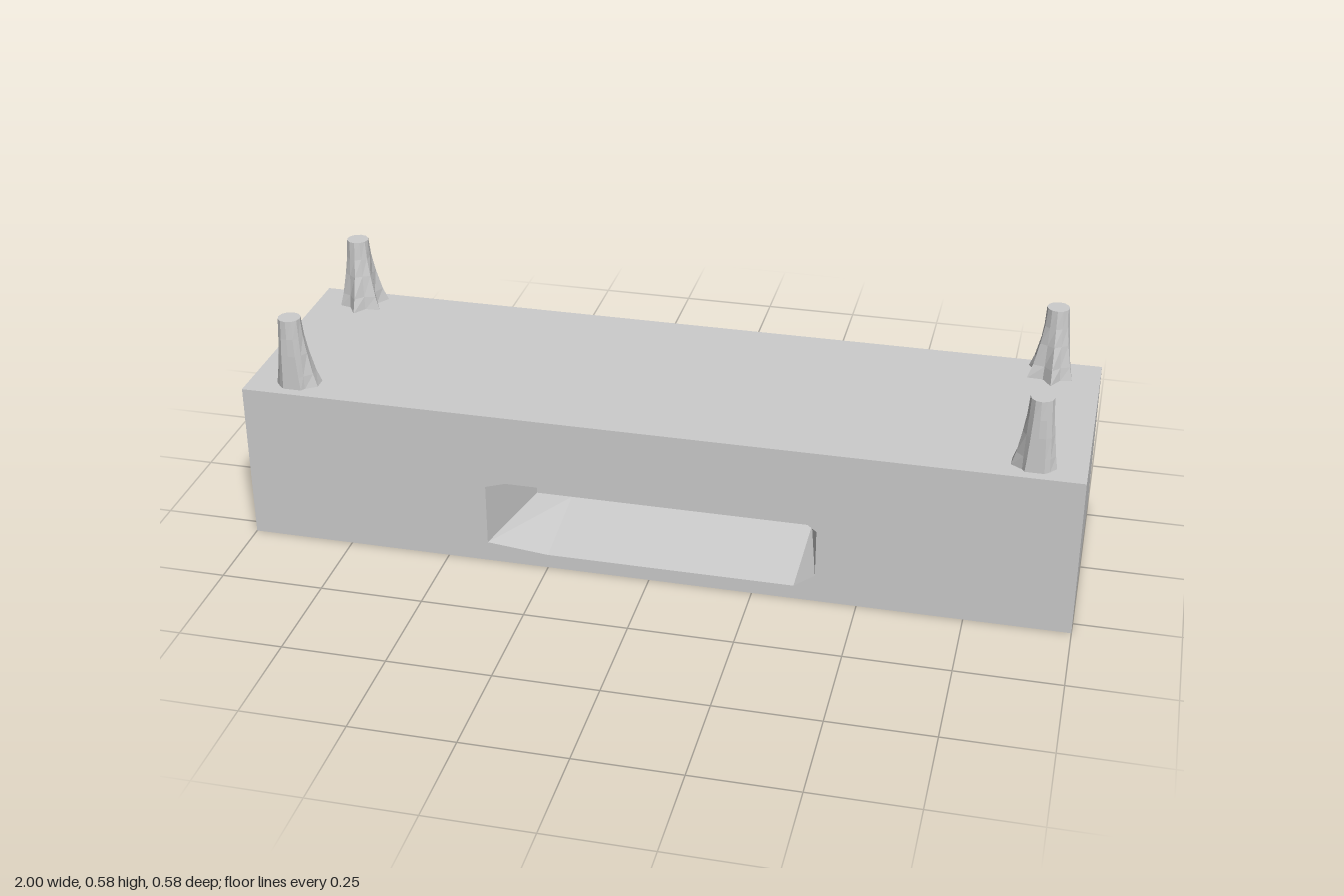
import * as THREE from 'three';

const W = 2, H = 0.397, D = 0.58;
const material = new THREE.MeshStandardMaterial({ color: 0xcccccc, flatShading: true });

function addMesh(parent, name, geometry) {
  const mesh = new THREE.Mesh(geometry, material);
  mesh.name = name;
  parent.add(mesh);
  return mesh;
}

// Skin a list of equal-length rings of [x, y, z] points with flat facets
function loft(rings) {
  const pos = [];
  for (let r = 0; r < rings.length - 1; r++) {
    const a = rings[r], b = rings[r + 1];
    for (let i = 0; i < a.length; i++) {
      const j = (i + 1) % a.length;
      pos.push(...a[i], ...a[j], ...b[j], ...a[i], ...b[j], ...b[i]);
    }
  }
  const geometry = new THREE.BufferGeometry();
  geometry.setAttribute('position', new THREE.Float32BufferAttribute(pos, 3));
  geometry.computeVertexNormals();
  return geometry;
}

// Post with a round top that splays into ridged roots.
// reach: base radius per direction, counter-clockwise from +x seen from above
function postGeometry(reach, frontLimit) {
  const topRadius = 0.027;
  const levels = [[0, 1], [0.035, 0.6], [0.09, 0.24], [0.135, 0.06], [0.181, 0]];
  const rings = levels.map(([y, flare], k) => reach.map((base, i) => {
    const a = (i / reach.length) * Math.PI * 2;
    const core = topRadius + 0.008 * (1 - k / (levels.length - 1));
    const r = core + (base - core) * flare;
    return [Math.cos(a) * r, y, Math.min(-Math.sin(a) * r, frontLimit)];
  }));
  rings.push(reach.map(() => [0, 0.181, 0]));
  return loft(rings);
}

export function createModel() {
  const model = new THREE.Group();
  model.name = 'block';

  // Solid block, its front left open for the recessed panel
  const box = new THREE.BoxGeometry(W, H, D);
  const index = Array.from(box.index.array);
  index.splice(24, 6);
  box.setIndex(index);
  addMesh(model, 'body', box).position.y = H / 2;

  // Front panel with the slot cut out
  const opening = [
    [-0.25, 0.035], [0.35, 0.035], [0.4, 0.07], [0.4, 0.19],
    [0.36, 0.22], [-0.35, 0.22], [-0.4, 0.205], [-0.4, 0.05],
  ];
  const panel = new THREE.Shape([[-1, 0], [1, 0], [1, H], [-1, H]].map(p => new THREE.Vector2(...p)));
  panel.holes.push(new THREE.Path(opening.map(p => new THREE.Vector2(...p))));
  addMesh(model, 'frontPanel', new THREE.ShapeGeometry(panel)).position.z = D / 2;

  // Slot interior, tapering to a smaller back wall
  const backZ = D / 2 - 0.22;
  addMesh(model, 'slotInterior', loft([
    opening.map(([x, y]) => [x, y, D / 2]),
    opening.map(([x, y]) => [
      THREE.MathUtils.clamp(x, -0.34, 0.355),
      THREE.MathUtils.clamp(y, 0.07, 0.185), backZ]),
    opening.map(() => [0, 0.128, backZ]),
  ]));

  // Four rooted posts, one near each top corner, mirrored left to right
  const frontReach = [0.046, 0.038, 0.054, 0.072, 0.04, 0.066, 0.058, 0.036, 0.05, 0.036, 0.04, 0.036];
  const backReach = [0.044, 0.04, 0.056, 0.037, 0.05, 0.07, 0.038, 0.069, 0.042, 0.068, 0.04, 0.056];
  const rows = [
    ['front', frontReach, 0.237, 0.028],
    ['back', backReach, -0.228, 1],
  ];
  for (const [row, reach, z, limit] of rows) {
    // Mirrored reach list keeps the facets facing outwards
    const mirrored = reach.map((_, i) => reach[(18 - i) % 12]);
    addMesh(model, row + 'LeftPost', postGeometry(reach, limit)).position.set(0.885, H - 0.002, z);
    addMesh(model, row + 'RightPost', postGeometry(mirrored, limit)).position.set(-0.885, H - 0.002, z);
  }
  return model;
}
